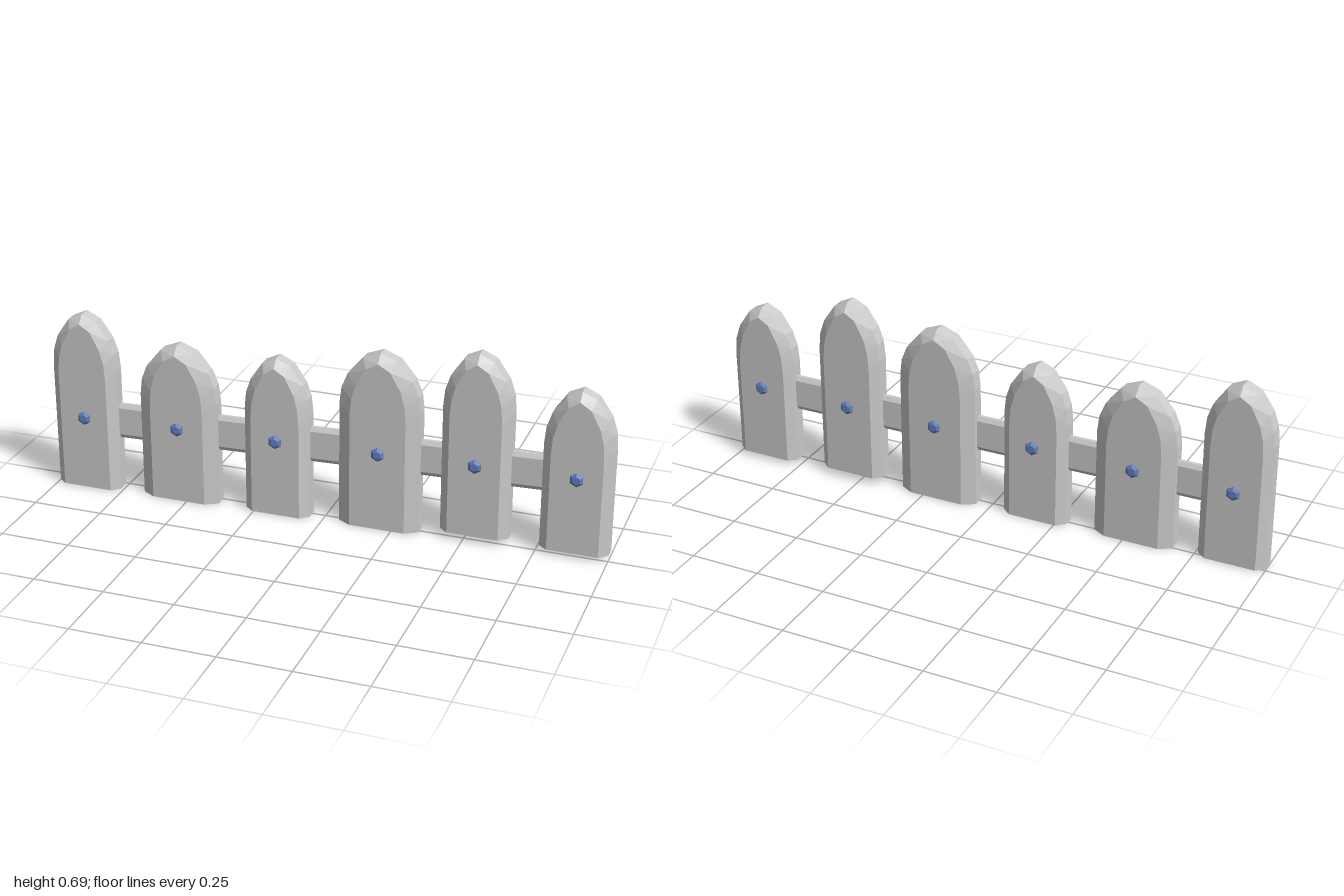
import * as THREE from 'three';
import { ConvexGeometry } from 'three/addons/geometries/ConvexGeometry.js';

const stone = new THREE.MeshStandardMaterial({ color: 0xcccccc, flatShading: true });
const metal = new THREE.MeshStandardMaterial({ color: 0x6680c0, flatShading: true });

// Half of the pointed arch: [fraction of half width, fraction of arch height]
const ARCH = [[1, 0], [0.95, 0.3], [0.8, 0.56], [0.43, 0.88], [0, 1]];
const ARCH_HEIGHT = 0.2;

// Centre x, width, bottom y, top y, centre z
const PICKETS = [
  [-0.88, 0.24, 0.005, 0.66, 0.03],
  [-0.53, 0.286, 0.003, 0.585, 0.018],
  [-0.168, 0.236, 0.003, 0.585, 0.006],
  [0.198, 0.288, 0.003, 0.648, -0.009],
  [0.535, 0.24, 0.028, 0.688, -0.022],
  [0.88, 0.238, 0.02, 0.602, -0.03],
];

// Arched board with bevelled front and back edges and a flat foot
function picketGeometry(width, bottom, top) {
  const points = [];
  const inset = width > 0.26 ? 0.045 : 0.03;
  const layers = [[0.0475, inset, 0.03], [0.022, 0, 0]];
  for (const [z, dx, dy] of layers) {
    const half = width / 2 - dx;
    const outline = [[half, bottom]];
    for (const [fx, fy] of ARCH) outline.push([half * fx, top - dy - ARCH_HEIGHT * (1 - fy)]);
    for (const [x, y] of outline) {
      for (const sx of [1, -1]) for (const sz of [1, -1]) {
        if (x > 0 || sx > 0) points.push(new THREE.Vector3(x * sx, y, z * sz));
      }
    }
  }
  return new ConvexGeometry(points);
}

// Long bar with bevelled edges
function railGeometry(length, height, depth) {
  const points = [];
  for (const x of [-length / 2, length / 2]) {
    for (const sy of [1, -1]) for (const sz of [1, -1]) {
      points.push(new THREE.Vector3(x, sy * height / 2, sz * depth * 0.2));
      points.push(new THREE.Vector3(x, sy * (height / 2 - 0.015), sz * depth / 2));
    }
  }
  return new ConvexGeometry(points);
}

// Domed six-sided stud, lying along z
function studGeometry() {
  const half = 0.058;
  const profile = [[0, -half], [0.015, -half], [0.025, -half + 0.006],
    [0.025, half - 0.006], [0.015, half], [0, half]];
  return new THREE.LatheGeometry(profile.map(([r, y]) => new THREE.Vector2(r, y)), 6).rotateX(Math.PI / 2);
}

export function createModel() {
  const fence = new THREE.Group();
  fence.name = 'fence';
  const add = (name, geometry, material, x, y, z) => {
    const mesh = new THREE.Mesh(geometry, material);
    mesh.name = name;
    mesh.position.set(x, y, z);
    fence.add(mesh);
    return mesh;
  };

  // Slightly sloping rail through all boards
  const rail = add('rail', railGeometry(1.8, 0.13, 0.03), stone, 0, 0.275, -0.001);
  rail.rotation.set(0, 0.035, 0.013);

  // Boards, each with a stud showing on both faces
  const stud = studGeometry();
  PICKETS.forEach(([x, width, bottom, top, z], i) => {
    add(`picket${i + 1}`, picketGeometry(width, bottom, top), stone, x, 0, z);
    add(`stud${i + 1}`, stud, metal, x + 0.002, 0.286 + x * 0.011, z);
  });
  return fence;
}
